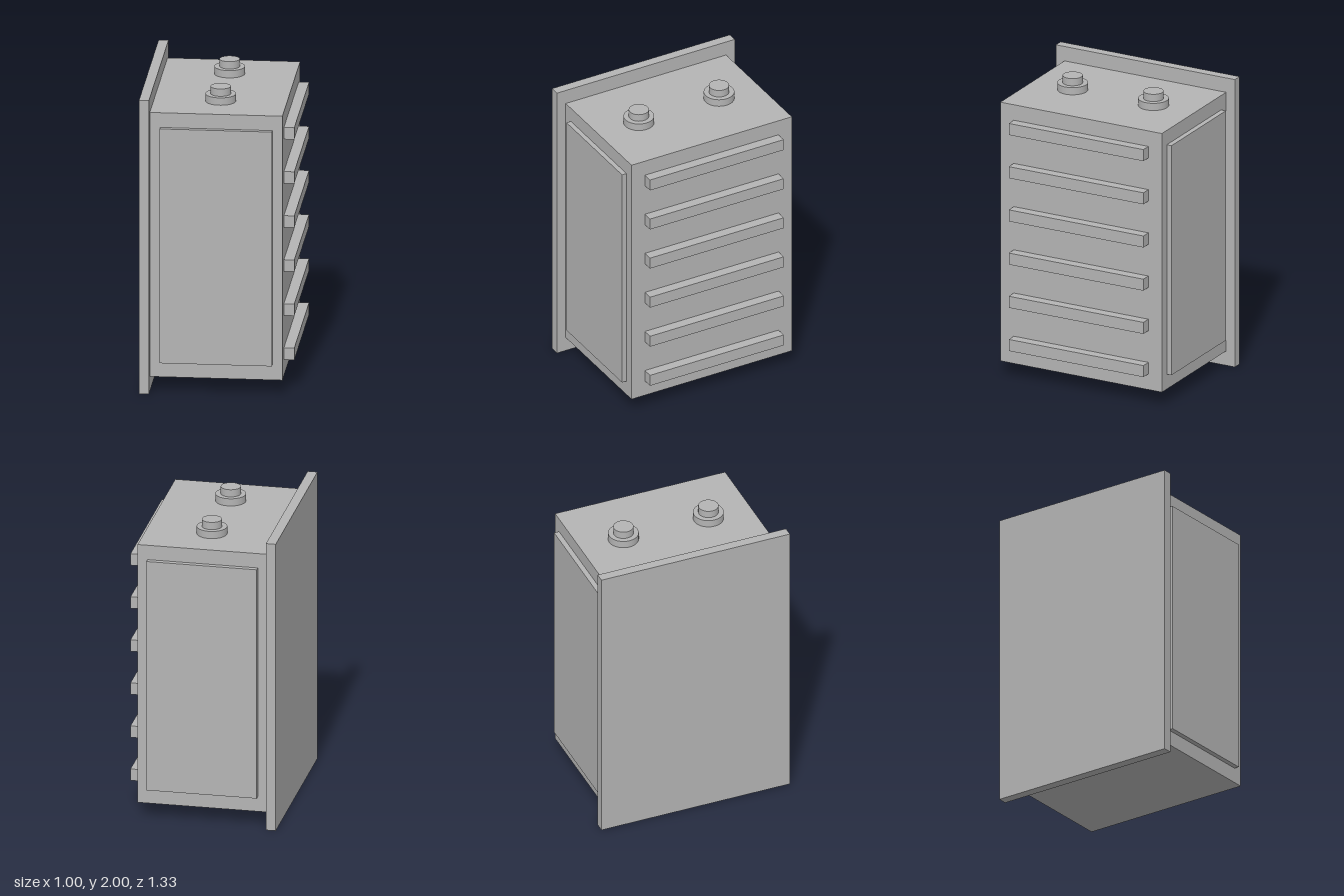
import * as THREE from 'three';

export function createModel() {
  const group = new THREE.Group();
  const grey = new THREE.MeshStandardMaterial({ color: 0xb4b4b4 });
  grey.name = 'light grey';

  const add = (name, geometry, x, y, z) => {
    const mesh = new THREE.Mesh(geometry, grey);
    mesh.name = name;
    mesh.position.set(x, y, z);
    group.add(mesh);
  };
  // Box given by its lower and upper corner
  const box = (name, [x0, y0, z0], [x1, y1, z1]) =>
    add(name, new THREE.BoxGeometry(x1 - x0, y1 - y0, z1 - z0),
      (x0 + x1) / 2, (y0 + y1) / 2, (z0 + z1) / 2);

  // Cabinet and the larger mounting plate on its right side
  box('cabinet', [-0.435, 0.1, -0.6], [0.432, 1.9, 0.6]);
  box('mountingPlate', [-0.5, 0, -0.665], [-0.435, 2, 0.665]);

  // Raised panels on front and back
  box('frontPanel', [-0.367, 0.203, 0.6], [0.366, 1.8, 0.633]);
  box('backPanel', [-0.367, 0.203, -0.635], [0.366, 1.8, -0.6]);

  // Cooling fins on the left side
  for (let i = 0; i < 6; i++) {
    const y = 0.25 + i * 0.3005;
    box('coolingFin', [0.432, y - 0.04, -0.5], [0.5, y + 0.04, 0.5]);
  }

  // Stepped round connectors on top
  for (const z of [-0.3, 0.3]) {
    add('connectorBase', new THREE.CylinderGeometry(0.1, 0.1, 0.05, 48), 0, 1.925, z);
    add('connectorCap', new THREE.CylinderGeometry(0.066, 0.066, 0.05, 48), 0, 1.975, z);
  }
  return group;
}
